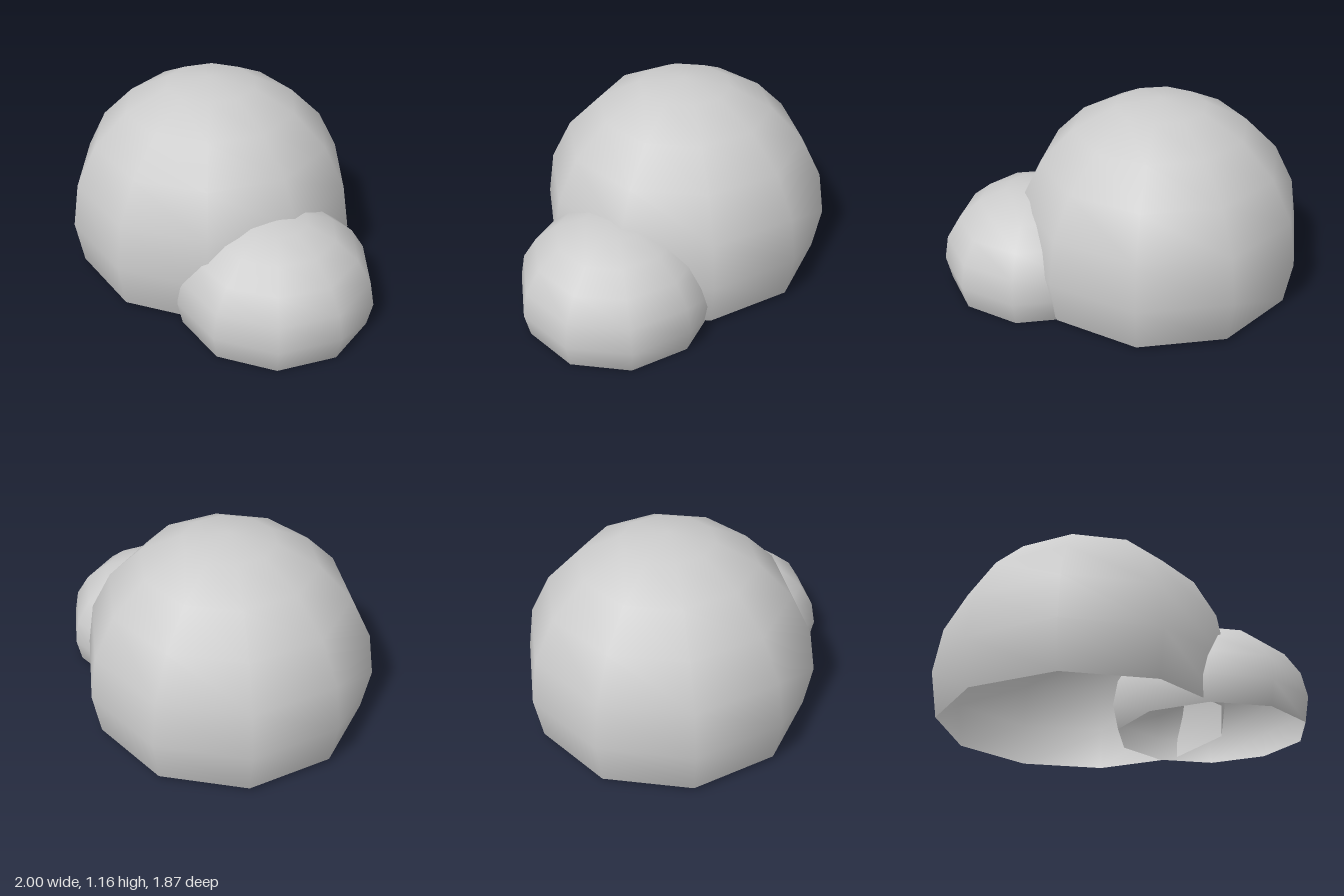
import * as THREE from 'three';

const material = new THREE.MeshStandardMaterial({ color: 0xcccccc, side: THREE.DoubleSide });

// Smooth ten-sided dome, open below, cut one ring under its widest level
function dome(name, radius, height, x, y, z) {
  const geometry = new THREE.SphereGeometry(radius, 10, 6, 0, Math.PI * 2, 0, Math.PI * 0.6);
  geometry.scale(1, height / radius, 1);
  const mesh = new THREE.Mesh(geometry, material);
  mesh.name = name;
  mesh.position.set(x, y, z);
  return mesh;
}

export function createModel() {
  const group = new THREE.Group();
  group.name = 'domeCluster';
  group.add(
    dome('largeDome', 0.87, 0.87, -0.13, 0.295, -0.11),
    dome('smallDome', 0.577, 0.475, 0.423, 0.147, 0.385)
  );
  return group;
}
